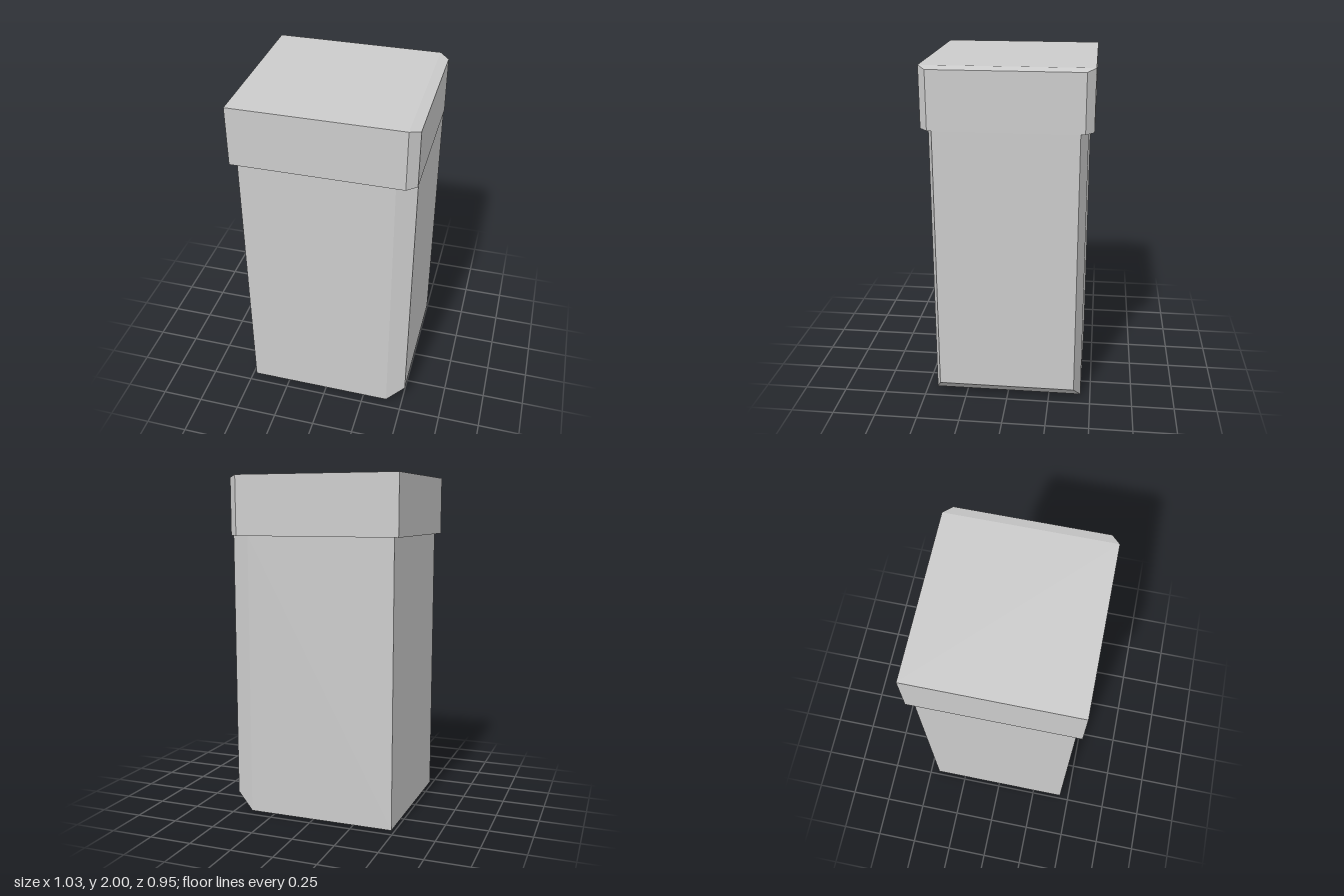
import * as THREE from 'three';

const material = new THREE.MeshStandardMaterial({ color: 0xcccccc, flatShading: true });

// Closed solid lofted along x through rectangles given as [x, halfDepth, bottom, top]
function loftAlongX(name, sections) {
  const positions = [];
  const rings = sections.map(([x, d, y0, y1]) => [[x, y0, d], [x, y0, -d], [x, y1, -d], [x, y1, d]]);
  const quad = (a, b, c, d) => [a, b, c, a, c, d].forEach((p) => positions.push(...p));

  // Walls between neighbouring rectangles
  for (let i = 0; i < rings.length - 1; i++) {
    for (let k = 0; k < 4; k++) {
      const n = (k + 1) % 4;
      quad(rings[i][k], rings[i][n], rings[i + 1][n], rings[i + 1][k]);
    }
  }
  // End faces
  quad(...[...rings[0]].reverse());
  quad(...rings[rings.length - 1]);

  const geometry = new THREE.BufferGeometry();
  geometry.setAttribute('position', new THREE.Float32BufferAttribute(positions, 3));
  geometry.computeVertexNormals();
  const mesh = new THREE.Mesh(geometry, material);
  mesh.name = name;
  return mesh;
}

export function createModel() {
  const group = new THREE.Group();
  group.name = 'cappedPillar';

  // Tall shaft, bevelled towards +x at the sides and foot
  group.add(loftAlongX('shaft', [
    [-0.48, 0.442, 0, 1.655],
    [0.40, 0.442, 0, 1.655],
    [0.51, 0.402, 0.095, 1.655],
  ]));

  // Overhanging cap, bevelled towards +x at the sides and top
  group.add(loftAlongX('cap', [
    [-0.513, 0.474, 1.655, 2],
    [0.457, 0.474, 1.655, 2],
    [0.512, 0.427, 1.655, 1.985],
  ]));

  return group;
}
